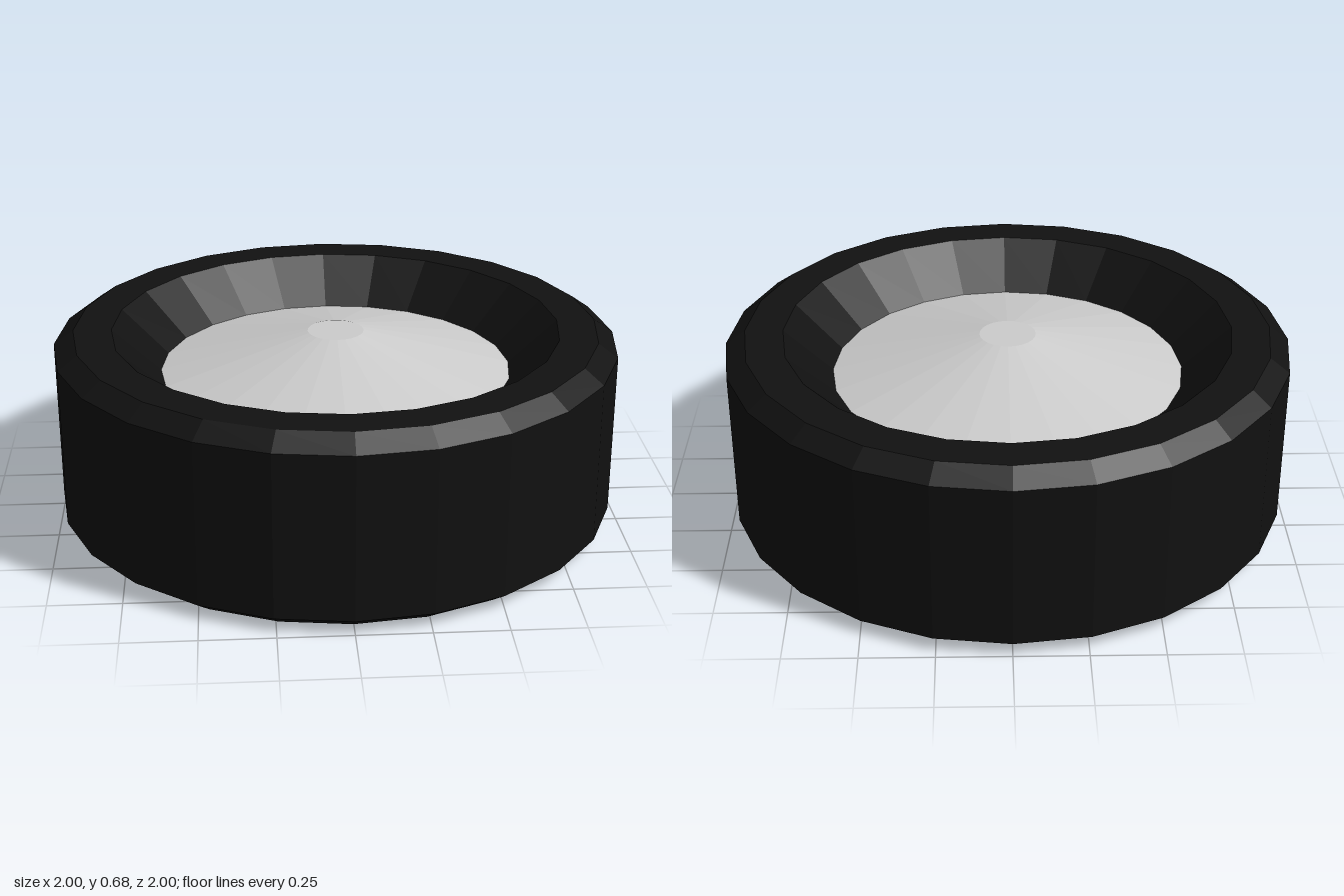
import * as THREE from 'three';

const SIDES = 24;
const HEIGHT = 0.68;

// Revolve a list of [radius, height] pairs around the vertical axle
function revolve(name, profile, color) {
  const points = profile.map(([r, y]) => new THREE.Vector2(r, y));
  const material = new THREE.MeshStandardMaterial({ color, flatShading: true });
  const mesh = new THREE.Mesh(new THREE.LatheGeometry(points, SIDES), material);
  mesh.name = name;
  return mesh;
}

export function createModel() {
  const wheel = new THREE.Group();
  wheel.name = 'wheel';

  // Half profiles, from the axle side outwards, on the lower face
  const tireHalf = [[0.625, 0.157], [0.795, 0], [0.93, 0], [1, 0.05]];
  const hubHalf = [[0, 0.02], [0.1, 0.02], [0.625, 0.157]];
  const mirror = (half) => half.map(([r, y]) => [r, HEIGHT - y]).reverse();

  // Tire: bevelled tread with sidewalls sloping in to the hub
  wheel.add(revolve('tire', [...tireHalf, ...mirror(tireHalf)], 0x111111));

  // Hub caps: shallow cones with a flat centre, one on each face
  wheel.add(revolve('lowerHubCap', hubHalf, 0xcccccc));
  wheel.add(revolve('upperHubCap', mirror(hubHalf), 0xcccccc));

  return wheel;
}
